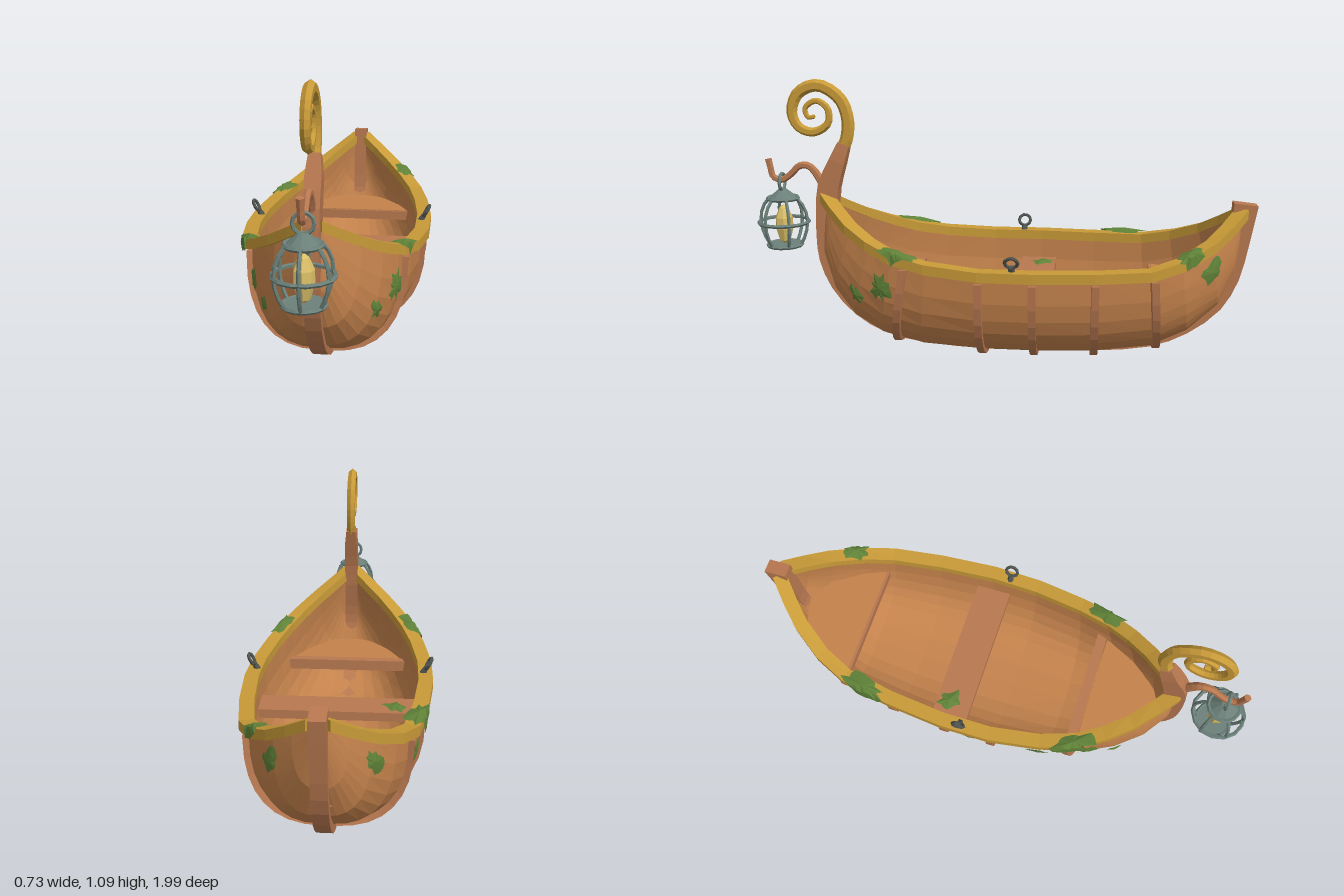
import * as THREE from 'three';

const V = (x, y, z) => new THREE.Vector3(x, y, z);
const mat = (name, color, side = THREE.FrontSide) => {
  const m = new THREE.MeshStandardMaterial({ color, side, flatShading: true });
  m.name = name;
  return m;
};

// Skin a list of point rings; normals face (ring direction) x (loft direction) unless flipped
function loft(rings, { closed = true, caps = false, flip = false } = {}) {
  const n = rings[0].length, pos = rings.flat().flatMap(p => [p.x, p.y, p.z]), idx = [];
  const tri = (a, b, c) => (flip ? idx.push(a, c, b) : idx.push(a, b, c));
  for (let i = 0; i < rings.length - 1; i++)
    for (let j = 0; j < (closed ? n : n - 1); j++) {
      const k = (j + 1) % n, a = i * n + j, b = i * n + k;
      tri(a, b, a + n);
      tri(b, b + n, a + n);
    }
  if (caps) {
    const e = (rings.length - 1) * n;
    for (let j = 1; j < n - 1; j++) { tri(0, j + 1, j); tri(e, e + j, e + j + 1); }
  }
  const g = new THREE.BufferGeometry();
  g.setAttribute('position', new THREE.Float32BufferAttribute(pos, 3));
  g.setIndex(idx);
  const out = g.toNonIndexed();
  out.computeVertexNormals();
  return out;
}

// Beam through frames { p, a, b }: centre and two half-axes
function beam(frames, n = 4) {
  const k = n === 4 ? Math.SQRT2 : 1;
  const rings = frames.map(({ p, a, b }) => Array.from({ length: n }, (_, j) => {
    const t = ((j + 0.5) / n) * Math.PI * 2;
    return p.clone().addScaledVector(a, k * Math.cos(t)).addScaledVector(b, k * Math.sin(t));
  }));
  const f = frames[0], dir = frames[1].p.clone().sub(f.p);
  return loft(rings, { caps: true, flip: f.a.clone().cross(f.b).dot(dir) < 0 });
}

// Beam in the x = 0 plane through [z, y, half depth], with half-width hx(depth, t)
function planarBeam(list, hx, steps, n) {
  const c = new THREE.CatmullRomCurve3(list.map(([z, y, h]) => V(h, y, z)));
  const frames = [];
  for (let i = 0; i <= steps; i++) {
    const q = c.getPoint(i / steps), t = c.getTangent(i / steps).setX(0).normalize();
    frames.push({ p: V(0, q.y, q.z), a: V(hx(q.x, i / steps), 0, 0), b: V(0, t.z, -t.y).multiplyScalar(q.x) });
  }
  return beam(frames, n);
}

// Hull stations, bow to stern: sheer half-width, sheer y, sheer z, keel y, keel z
const ST = [
  [.015, .61, .70, .52, .715], [.07, .57, .65, .38, .715], [.15, .515, .57, .24, .665],
  [.215, .47, .48, .14, .58], [.265, .435, .385, .075, .46], [.305, .41, .25, .04, .29],
  [.335, .395, .05, .03, .05], [.338, .395, -.15, .03, -.15], [.318, .395, -.38, .035, -.38],
  [.285, .40, -.58, .06, -.60], [.235, .43, -.70, .12, -.74], [.16, .48, -.81, .22, -.86],
  [.09, .53, -.88, .35, -.92], [.02, .58, -.94, .50, -.945]];
const LAST = ST.length - 1;
const station = u => {
  const i = Math.min(LAST - 1, Math.max(0, Math.floor(u)));
  return ST[i].map((s, k) => s + (ST[i + 1][k] - s) * (u - i));
};

// Point on the hull: u along stations, v from -1 (right sheer) through 0 (keel) to 1
function skin(u, v) {
  const [w, ys, zs, yk, zk] = station(u), a = Math.min(1, Math.abs(v)) * Math.PI / 2;
  const c = Math.pow(Math.max(0, Math.cos(a)), .75);
  return V(Math.sign(v) * w * Math.pow(Math.sin(a), .75), ys + (yk - ys) * c, zs + (zk - zs) * c);
}
function hull(u, v, off = 0) {
  const e = .02, vc = THREE.MathUtils.clamp(v, -1 + e, 1 - e), uc = THREE.MathUtils.clamp(u, e, LAST - e);
  const du = skin(uc + e, vc).sub(skin(uc - e, vc)), dv = skin(uc, vc + e).sub(skin(uc, vc - e));
  const p = skin(u, v).addScaledVector(du.cross(dv).normalize(), off);
  if (p.x * v < 0) p.x = 0;
  return p;
}

// Sheer point with its outward plan direction
function sheer(u, s) {
  const p = skin(u, s), uc = THREE.MathUtils.clamp(u, .3, LAST - .3);
  const t = skin(uc + .3, s).sub(skin(uc - .3, s));
  return { p, out: V(-t.z * s, 0, t.x * s).normalize(), along: t.normalize() };
}

export function createModel() {
  const root = new THREE.Group();
  const M = {
    hull: mat('hull planks', 0xc4824c), trim: mat('trim wood', 0xb87850), gold: mat('golden rail', 0xc89a38),
    iron: mat('lantern iron', 0x6c807a), dark: mat('dark iron', 0x50544f),
    glow: mat('lantern glow', 0xdcc068), moss: mat('moss', 0x5f8238, THREE.DoubleSide),
  };
  const add = (name, geo, m, parent = root) => {
    const mesh = new THREE.Mesh(geo, m);
    mesh.name = name;
    parent.add(mesh);
    return mesh;
  };

  // Hull shells
  const NV = 8;
  const shell = off => ST.map((_, u) => Array.from({ length: 2 * NV + 1 }, (_, j) => hull(u, j / NV - 1, off)));
  add('hullOutside', loft(shell(0), { closed: false, flip: true }), M.hull);
  add('hullInside', loft(shell(-.02), { closed: false }), M.hull);

  // Gunwales
  for (const s of [1, -1])
    add(s > 0 ? 'leftGunwale' : 'rightGunwale', beam(ST.map((_, u) => {
      const { p, out } = sheer(u, s);
      return { p: p.add(V(0, .004, 0)), a: out.multiplyScalar(.028), b: V(0, .019, 0) };
    })), M.gold);

  // Ribs around the outside
  for (const u of [4.4, 6, 7, 8, 9.1])
    add('rib', beam(Array.from({ length: 17 }, (_, j) => {
      const v = (j / 8 - 1) * .98, p = hull(u, v, .006);
      return { p, a: hull(u, v, .018).sub(p), b: V(0, 0, .014) };
    })), M.trim);

  // Keel running up into the stem and stern posts
  add('keelAndPosts', planarBeam([
    [.622, .83, .024], [.65, .76, .032], [.688, .66, .042], [.70, .56, .042], [.712, .45, .032], [.71, .36, .026],
    [.67, .25, .022], [.58, .145, .022], [.46, .075, .022], [.29, .036, .021], [.05, .021, .021], [-.15, .021, .021],
    [-.38, .028, .021], [-.6, .052, .021], [-.74, .11, .021], [-.86, .21, .022], [-.915, .33, .028],
    [-.935, .46, .036], [-.953, .62, .046]], (h, t) => Math.min(.028, .02 + t * .16), 36, 4), M.trim);

  // Curled prow
  add('prowScroll', planarBeam([
    [.64, .79, .026], [.612, .85, .026], [.605, .93, .026], [.635, 1.01, .026], [.72, 1.06, .025], [.80, 1.03, .024],
    [.83, .955, .022], [.805, .895, .02], [.745, .875, .018], [.685, .91, .015], [.685, .97, .014], [.73, 1.0, .012],
    [.775, .97, .011], [.765, .935, .01], [.738, .937, .008]], h => h * .55 + .006, 44, 6), M.gold);

  // Seats: flat boards from [z, half-width] outlines
  const board = (name, rows, y, h, m) => {
    const s = new THREE.Shape([...rows.map(([z, w]) => new THREE.Vector2(w, -z)),
      ...rows.slice().reverse().map(([z, w]) => new THREE.Vector2(-w, -z))]);
    const g = new THREE.ExtrudeGeometry(s, { depth: h, bevelEnabled: false });
    add(name, g.rotateX(-Math.PI / 2).translate(0, y - h, 0), m);
  };
  board('middleSeat', [[-.07, .312], [-.215, .308]], .30, .035, M.trim);
  board('bowSeat', [[.39, .25], [.41, .24], [.53, .185], [.63, .105], [.67, .03]], .29, .025, M.hull);
  board('bowSeatEdge', [[.345, .268], [.385, .25]], .30, .045, M.trim);
  board('sternSeat', [[-.615, .255], [-.717, .207], [-.84, .12], [-.885, .03]], .30, .03, M.hull);
  board('sternSeatEdge', [[-.605, .26], [-.63, .25]], .297, .04, M.trim);

  // Oar rings
  for (const s of [1, -1]) {
    const g = new THREE.Group();
    g.name = s > 0 ? 'leftOarRing' : 'rightOarRing';
    add('ring', new THREE.TorusGeometry(.024, .007, 5, 10).rotateY(Math.PI / 2).translate(0, .045, 0), M.dark, g);
    add('post', new THREE.CylinderGeometry(.01, .014, .03, 6).translate(0, .01, 0), M.dark, g);
    g.position.set(s * .328, .415, -.075);
    g.rotation.z = -s * .5;
    root.add(g);
  }

  // Lantern arm
  add('lanternArm', planarBeam([
    [.70, .62, .018], [.73, .69, .017], [.77, .738, .015], [.81, .738, .014], [.845, .705, .013],
    [.885, .68, .013], [.92, .692, .013], [.93, .73, .013], [.937, .765, .014]], h => h, 22, 6), M.trim);

  // Lantern
  const lamp = new THREE.Group();
  lamp.name = 'lantern';
  lamp.position.z = .885;
  root.add(lamp);
  add('hangingRing', new THREE.TorusGeometry(.034, .007, 5, 12).translate(0, .672, 0), M.iron, lamp);
  for (const [r, y] of [[.06, .605], [.1, .507], [.068, .411]])
    add('cageRing', new THREE.TorusGeometry(r, .008, 5, 14).rotateX(Math.PI / 2).translate(0, y, 0), M.iron, lamp);
  const bar = new THREE.CatmullRomCurve3([[.058, .605], [.088, .565], [.098, .507], [.088, .455], [.066, .411]]
    .map(([r, y]) => V(r, y, 0)));
  for (let i = 0; i < 6; i++)
    add('cageBar', new THREE.TubeGeometry(bar, 6, .007, 5).rotateY((i + .5) * Math.PI / 3), M.iron, lamp);
  add('cap', new THREE.CylinderGeometry(.016, .056, .035, 10).translate(0, .625, 0), M.iron, lamp);
  add('base', new THREE.CylinderGeometry(.066, .066, .014, 12).translate(0, .409, 0), M.iron, lamp);
  add('glow', new THREE.LatheGeometry([[0, .415], [.022, .43], [.036, .48], [.035, .525], [.018, .565], [0, .58]]
    .map(([r, y]) => new THREE.Vector2(r, y)), 7), M.glow, lamp);

  // Moss: ragged patches draped by a mapping from (x, y) to the surface
  let seed = 7;
  const rnd = () => (seed = (seed * 16807) % 2147483647) / 2147483647;
  const moss = (map, rx, ry) => {
    const n = 18, rad = Array.from({ length: n }, () => .5 + .55 * rnd());
    add('moss', loft([0, .5, 1].map(k => rad.map((r, j) => {
      const t = j / n * Math.PI * 2;
      return map(Math.cos(t) * r * k * rx, Math.sin(t) * r * k * ry, 1 - k);
    }))), M.moss);
  };
  for (const [u, v, k] of [[3.7, -.84, 1], [3, -.66, .8], [5.1, -.73, .8], [6.45, -.88, .8], [8.6, -.87, 1.1],
    [11, -.88, 1.2], [3.8, .84, 1.2], [3, .66, 1], [10.9, .86, 1.2]])
    moss((x, y, c) => hull(u + x, v + y, .009 + c * .006), .36 * k, .085 * k);
  // Moss lying over the rail and hanging down its outer side
  for (const [u, s, k] of [[8.6, -1, 1.3], [10.2, 1, .9], [4.1, -1, 1.3], [4.2, 1, 1]])
    moss((x, y, c) => {
      const { p, out, along } = sheer(u, s), d = y + .012;
      return p.addScaledVector(along, x).addScaledVector(out, Math.min(d, .036))
        .add(V(0, .03 + c * .012 - Math.max(0, d - .03) * 1.6, 0));
    }, .085 * k, .055);
  moss((x, y, c) => V(-.22 + x, .304 + c * .01, -.16 + y), .055, .06);

  return root;
}
